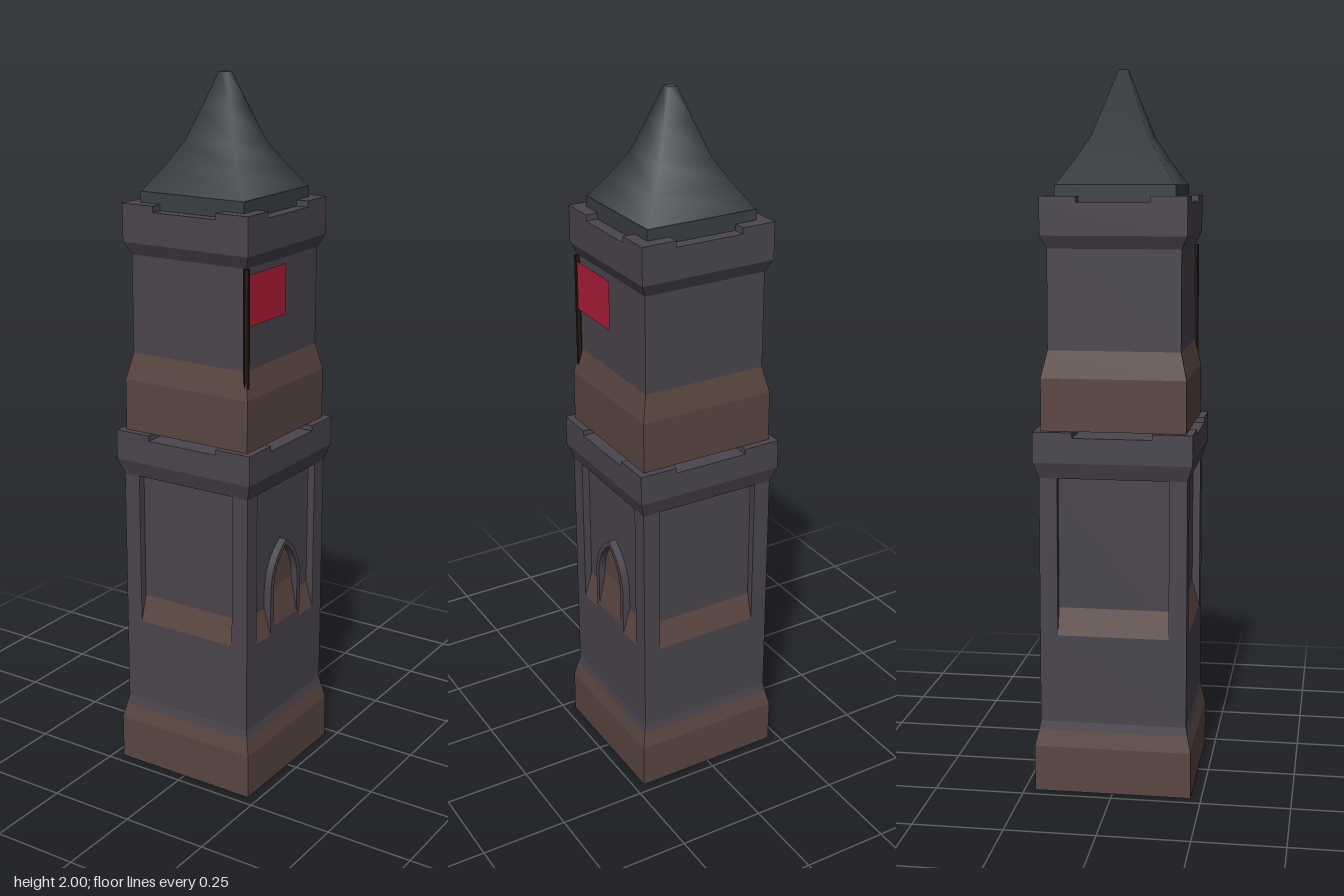
import * as THREE from 'three';

const mat = (color, flatShading = true) => new THREE.MeshStandardMaterial({ color, flatShading });
const stone = mat(0x4a454d), brown = mat(0x5a4640), slate = mat(0x3a3f42, false);
const wood = mat(0x20150f), cloth = mat(0xb01c38);
cloth.side = THREE.DoubleSide;

const WALL = 0.205, PANEL = 0.183, POST = 0.155;

function add(parent, name, geometry, material, x = 0, y = 0, z = 0) {
  const mesh = new THREE.Mesh(geometry, material);
  mesh.name = name;
  mesh.position.set(x, y, z);
  parent.add(mesh);
  return mesh;
}

// Square section swept up a profile of [half width, y], closed at both ends
function squareLoft(profile) {
  const first = profile[0], last = profile[profile.length - 1];
  const pts = [[0, first[1]], ...profile, [0, last[1]]]
    .map(([w, y]) => new THREE.Vector2(w * Math.SQRT2, y));
  return new THREE.LatheGeometry(pts, 4, Math.PI / 4);
}

// Sloping sill on the +x face
function sillGeometry(y0, y1, width) {
  const s = new THREE.Shape([
    new THREE.Vector2(0, y0), new THREE.Vector2(WALL - PANEL, y0), new THREE.Vector2(0, y1),
  ]);
  return new THREE.ExtrudeGeometry(s, { depth: width, bevelEnabled: false }).translate(0, 0, -width / 2);
}

// Pointed arch outline
function arch(target, w, y0, spring, top) {
  const k = spring + (top - spring) * 0.65;
  target.moveTo(-w, y0);
  target.lineTo(w, y0);
  target.lineTo(w, spring);
  target.quadraticCurveTo(w * 0.95, k, 0, top);
  target.quadraticCurveTo(-w * 0.95, k, -w, spring);
  target.lineTo(-w, y0);
  return target;
}

// Four blocks standing on the corners of a parapet
function merlons(parent, name, half, size, y0, y1) {
  const g = new THREE.BoxGeometry(size, y1 - y0, size);
  const c = half - size / 2;
  for (const sx of [-1, 1]) for (const sz of [-1, 1]) {
    add(parent, name, g, stone, sx * c, (y0 + y1) / 2, sz * c);
  }
}

export function createModel() {
  const tower = new THREE.Group();
  tower.name = 'tower';

  // Lower tower: plinth, shaft, panelled storey, parapet
  const lower = new THREE.Group();
  lower.name = 'lowerTower';
  tower.add(lower);
  add(lower, 'plinth', squareLoft([[0.22, 0], [0.22, 0.13], [0.21, 0.175]]), brown);
  add(lower, 'shaft', squareLoft([[0.21, 0.175], [WALL, 0.2], [WALL, 0.45]]), stone);
  add(lower, 'panelCore', squareLoft([[PANEL, 0.45], [PANEL, 0.9]]), stone);
  const postSize = WALL - POST, pc = (WALL + POST) / 2;
  for (const sx of [-1, 1]) for (const sz of [-1, 1]) {
    add(lower, 'cornerPost', new THREE.BoxGeometry(postSize, 0.45, postSize), stone, sx * pc, 0.675, sz * pc);
  }
  add(lower, 'lowerParapet', squareLoft([[WALL, 0.895], [0.22, 0.94], [0.22, 1.01]]), stone);
  merlons(lower, 'lowerMerlon', 0.22, 0.11, 1.01, 1.025);

  // Sills in the recessed panels; the +x one is split by the window
  for (let i = 0; i < 4; i++) {
    const face = new THREE.Group();
    face.name = 'panelSill';
    face.rotation.y = i * Math.PI / 2;
    lower.add(face);
    if (i === 0) {
      for (const s of [-1, 1]) add(face, 'sill', sillGeometry(0.45, 0.525, 0.075), brown, PANEL, 0, s * 0.1175);
    } else {
      add(face, 'sill', sillGeometry(0.45, 0.525, POST * 2), brown, PANEL);
    }
  }

  // Arched window on the +x face
  const frame = arch(new THREE.Shape(), 0.08, 0.45, 0.58, 0.715);
  frame.holes.push(arch(new THREE.Path(), 0.064, 0.47, 0.58, 0.698));
  const frameGeo = new THREE.ExtrudeGeometry(frame, { depth: WALL - PANEL, bevelEnabled: false, curveSegments: 8 });
  add(lower, 'windowFrame', frameGeo.rotateY(Math.PI / 2), stone, PANEL);
  const pane = new THREE.ShapeGeometry(arch(new THREE.Shape(), 0.064, 0.47, 0.58, 0.698), 8);
  add(lower, 'windowPane', pane.rotateY(Math.PI / 2), brown, PANEL + 0.002);
  add(lower, 'windowSill', sillGeometry(0.47, 0.585, 0.128), brown, PANEL);

  // Upper tower
  const upper = new THREE.Group();
  upper.name = 'upperTower';
  tower.add(upper);
  add(upper, 'upperPlinth', squareLoft([[0.2, 1.025], [0.2, 1.17], [PANEL, 1.245]]), brown);
  add(upper, 'upperShaft', squareLoft([[PANEL, 1.245], [PANEL, 1.52], [0.2, 1.555], [0.2, 1.643]]), stone);
  merlons(upper, 'upperMerlon', 0.2, 0.1, 1.643, 1.66);

  // Roof: soft-shaded sweep with a straight eave below it
  add(upper, 'eave', squareLoft([[0.165, 1.643], [0.165, 1.69]]), mat(0x3a3f42));
  const roofProfile = [[0.163, 1.69], [0.118, 1.755], [0.079, 1.82], [0.045, 1.91], [0.013, 2]];
  const roofPts = roofProfile.map(([w, y]) => new THREE.Vector2(w * Math.SQRT2, y));
  add(upper, 'roof', new THREE.LatheGeometry(roofPts, 4, Math.PI / 4), slate);
  add(upper, 'roofTip', new THREE.BoxGeometry(0.026, 0.004, 0.026), stone, 0, 1.998, 0);

  // Flag on the front corner
  add(upper, 'flagPole', new THREE.CylinderGeometry(0.009, 0.009, 0.33, 6), wood, 0.186, 1.355, 0.184);
  add(upper, 'flag', new THREE.PlaneGeometry(0.185, 0.14).rotateY(Math.PI / 2), cloth, 0.191, 1.435, 0.088);

  return tower;
}
